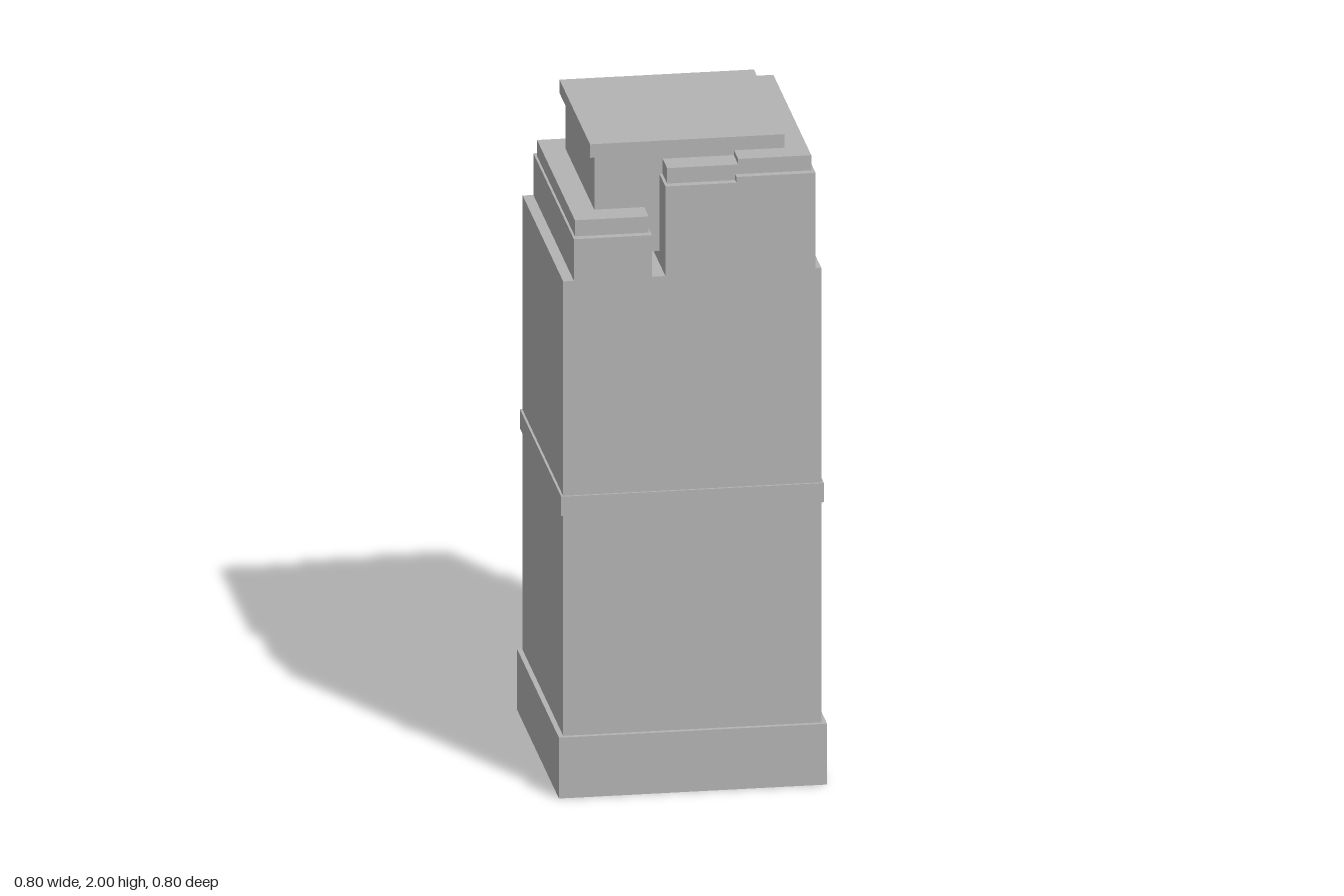
import * as THREE from 'three';

const stone = new THREE.MeshStandardMaterial({ color: 0xb3b3b3 });
stone.name = 'grey stone';

export function createModel() {
  const tower = new THREE.Group();
  tower.name = 'tower';

  // Box given by its x range, y range and half depth
  const block = (name, x0, x1, y0, y1, halfZ) => {
    const mesh = new THREE.Mesh(new THREE.BoxGeometry(x1 - x0, y1 - y0, halfZ * 2), stone);
    mesh.position.set((x0 + x1) / 2, (y0 + y1) / 2, 0);
    mesh.name = name;
    tower.add(mesh);
  };

  // Shaft
  block('base', -0.4, 0.4, 0, 0.19, 0.4);
  block('shaft', -0.385, 0.385, 0.19, 1.61, 0.385);
  block('beltCourse', -0.392, 0.392, 0.88, 0.94, 0.392);

  // Low wing and its roof slab
  block('lowWing', -0.353, -0.12, 1.61, 1.74, 0.385);
  block('lowWingRoof', -0.346, -0.126, 1.74, 1.79, 0.36);

  // High wing, stepped in two, with roof slabs
  block('middleWing', -0.08, 0.132, 1.61, 1.89, 0.385);
  block('middleWingRoof', -0.071, 0.141, 1.89, 1.938, 0.36);
  block('highWing', 0.132, 0.368, 1.61, 1.908, 0.385);
  block('highWingRoof', 0.141, 0.359, 1.908, 1.955, 0.36);

  // Core rising between the wings, with its cap
  block('core', -0.275, 0.275, 1.65, 1.958, 0.275);
  block('coreCap', -0.29, 0.29, 1.958, 2, 0.29);

  return tower;
}
